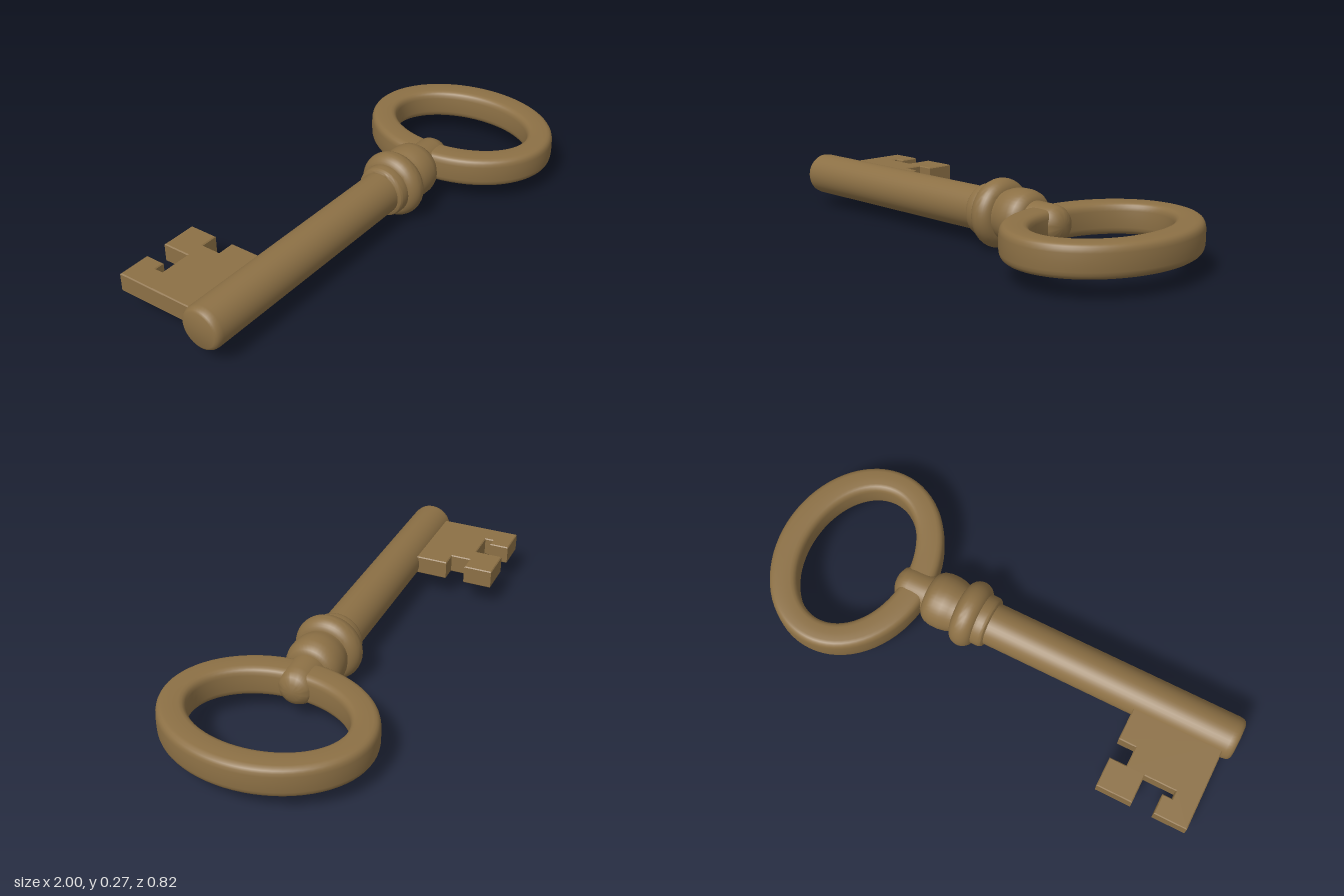
import * as THREE from 'three';
import { toCreasedNormals } from 'three/addons/utils/BufferGeometryUtils.js';

const AXIS_Y = 0.138;

export function createModel() {
  const key = new THREE.Group();
  key.name = 'key';
  const brass = new THREE.MeshStandardMaterial({ color: 0x8c7045 });
  brass.name = 'agedBrass';

  const add = (name, geometry) => {
    const mesh = new THREE.Mesh(geometry, brass);
    mesh.name = name;
    mesh.position.y = AXIS_Y;
    key.add(mesh);
  };

  // Turned part along x from [x, radius] pairs
  const turned = (name, profile) => {
    const points = profile.map(([x, r]) => new THREE.Vector2(r, x));
    const geometry = new THREE.LatheGeometry(points, 40).rotateZ(-Math.PI / 2);
    add(name, toCreasedNormals(geometry, 0.7));
  };

  // Rounded bead: superellipse profile between two x values
  const bead = (name, x0, x1, radius, core, power) => {
    const profile = [[x0, 0]];
    for (let i = 0; i <= 16; i++) {
      const a = Math.PI * (1 - i / 16);
      const c = Math.cos(a);
      const s = Math.max(0, Math.sin(a));
      profile.push([
        (x0 + x1) / 2 + (x1 - x0) / 2 * Math.sign(c) * Math.abs(c) ** (2 / power),
        core + (radius - core) * s ** (2 / power),
      ]);
    }
    profile.push([x1, 0]);
    turned(name, profile);
  };

  // Shaft and turned mouldings
  turned('shaft', [[-1, 0], [-1, 0.07], [-0.995, 0.079], [-0.985, 0.085], [-0.97, 0.087], [0.1, 0.087]]);
  bead('thinCollar', 0.055, 0.125, 0.106, 0.084, 3);
  bead('wideCollar', 0.1, 0.2, 0.137, 0.09, 2);
  turned('neck', [
    [0.17, 0.1], [0.2, 0.1], [0.22, 0.108], [0.25, 0.113], [0.285, 0.113],
    [0.31, 0.107], [0.328, 0.094], [0.336, 0.08], [0.34, 0],
  ]);
  turned('neckTip', [
    [0.32, 0.077], [0.42, 0.076], [0.445, 0.071], [0.465, 0.058], [0.478, 0.035], [0.483, 0],
  ]);

  // Oval bow: softly squared section swept between inner and outer ellipses
  const around = 72, section = 24;
  const positions = [], index = [];
  for (let i = 0; i < around; i++) {
    const a = i / around * Math.PI * 2;
    for (let j = 0; j < section; j++) {
      const b = j / section * Math.PI * 2;
      const soft = (v) => Math.sign(v) * Math.abs(v) ** 0.5;
      const w = soft(Math.cos(b)) * 0.5 + 0.5;
      const rx = THREE.MathUtils.lerp(0.213, 0.33, w);
      const rz = THREE.MathUtils.lerp(0.302, 0.41, w);
      positions.push(0.665 + rx * Math.cos(a), soft(Math.sin(b)) * 0.063, rz * Math.sin(a));
      const i2 = (i + 1) % around, j2 = (j + 1) % section;
      const p = i * section + j, q = i2 * section + j;
      const r = i2 * section + j2, s = i * section + j2;
      index.push(p, s, q, q, s, r);
    }
  }
  const bow = new THREE.BufferGeometry();
  bow.setAttribute('position', new THREE.Float32BufferAttribute(positions, 3));
  bow.setIndex(index);
  bow.computeVertexNormals();
  add('bow', bow);

  // Flat bit with an L-shaped end notch and a side notch
  const outline = [
    [-0.96, 0.04], [-0.59, 0.04], [-0.59, 0.21], [-0.66, 0.21], [-0.66, 0.29], [-0.59, 0.29],
    [-0.59, 0.41], [-0.737, 0.41], [-0.737, 0.295], [-0.865, 0.295], [-0.865, 0.328],
    [-0.825, 0.328], [-0.825, 0.41], [-0.96, 0.41],
  ];
  const shape = new THREE.Shape(outline.map(([x, y]) => new THREE.Vector2(x, y)));
  const bit = new THREE.ExtrudeGeometry(shape, {
    depth: 0.07, bevelEnabled: true, bevelThickness: 0.004, bevelSize: 0.004, bevelOffset: -0.004, bevelSegments: 1,
  });
  add('bit', bit.translate(0, 0, -0.035).rotateX(-Math.PI / 2));

  return key;
}
